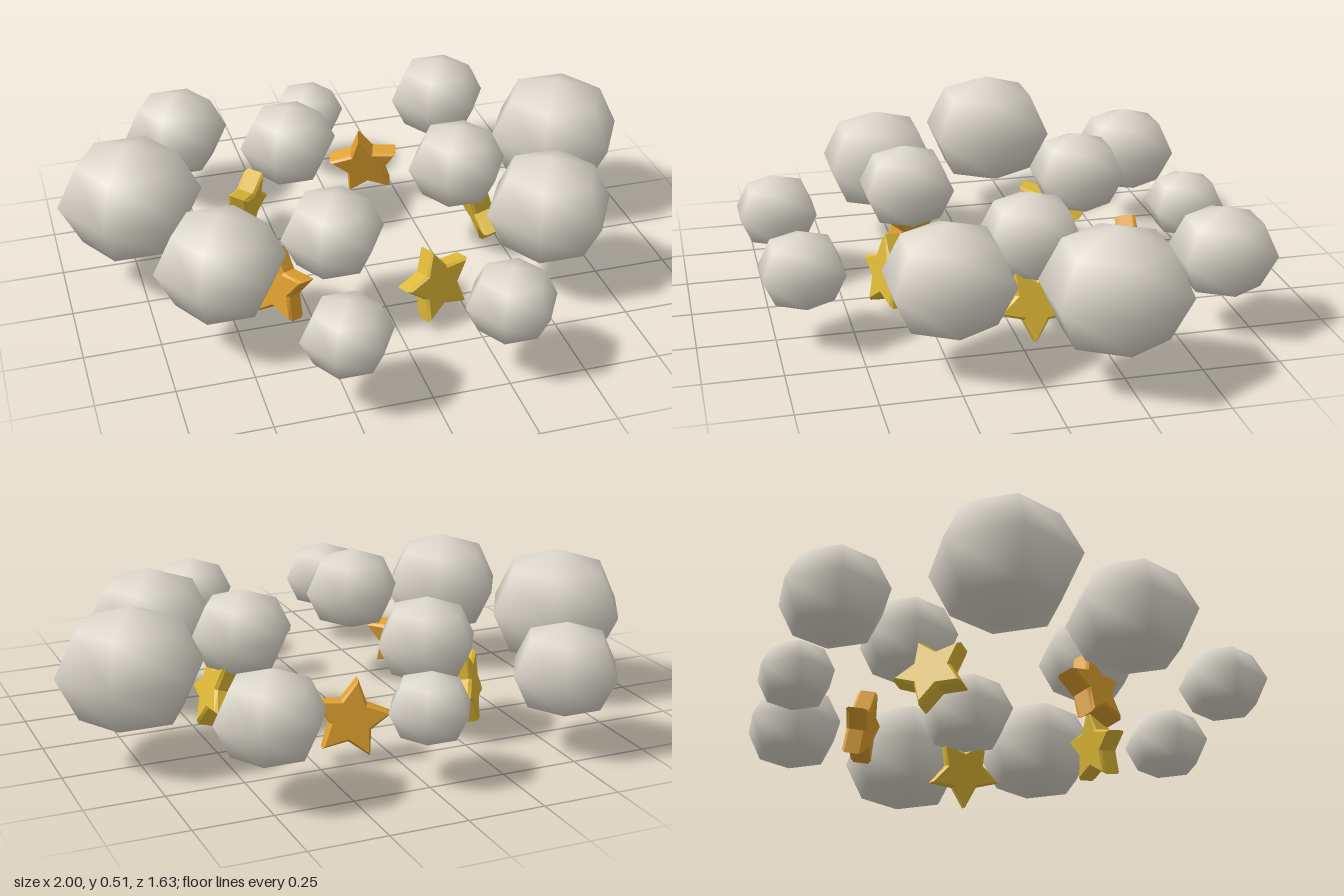
import * as THREE from 'three';

export function createModel() {
  const model = new THREE.Group();
  const make = (name, color) => {
    const m = new THREE.MeshStandardMaterial({ color });
    m.name = name;
    return m;
  };
  const cloudGrey = make('cloud grey', 0xdcd7cb);
  const yellow = make('star yellow', 0xdeb937);
  const orange = make('star orange', 0xe0a02e);

  // Cloud puffs: x, y, z, radius. Six-sided, smooth, slightly squashed spheres
  const puffGeometry = new THREE.SphereGeometry(1, 6, 4);
  const puffs = [
    [-0.76, 0.31, -0.17, 0.24], [0.76, 0.31, -0.21, 0.238],
    [-0.55, 0.295, 0.28, 0.213], [0.56, 0.3, 0.25, 0.217],
    [-0.52, 0.272, -0.64, 0.183], [0.473, 0.27, -0.655, 0.177],
    [-0.02, 0.24, -0.7, 0.137], [-0.175, 0.326, -0.357, 0.17],
    [0.343, 0.326, -0.057, 0.172], [-0.178, 0.326, 0.245, 0.171],
    [-0.253, 0.247, 0.683, 0.148], [0.277, 0.25, 0.66, 0.15],
  ];
  const cloud = new THREE.Group();
  cloud.name = 'cloudRing';
  puffs.forEach(([x, y, z, r], i) => {
    const puff = new THREE.Mesh(puffGeometry, cloudGrey);
    puff.name = `cloudPuff${i + 1}`;
    puff.position.set(x, y, z);
    puff.scale.set(r, r * 0.845, r);
    cloud.add(puff);
  });
  model.add(cloud);

  // Five-pointed star with a small bevel
  const outline = [];
  for (let i = 0; i < 10; i++) {
    const a = Math.PI / 2 + (i * Math.PI) / 5;
    const r = i % 2 ? 0.06 : 0.117;
    outline.push(new THREE.Vector2(r * Math.cos(a), r * Math.sin(a)));
  }
  const starGeometry = new THREE.ExtrudeGeometry(new THREE.Shape(outline), {
    depth: 0.05, bevelEnabled: true, bevelThickness: 0.01, bevelSize: 0.008, bevelSegments: 1,
  });
  starGeometry.translate(0, 0, -0.025);

  // Stars stand in a circle facing outward: height, spin and lean in degrees
  const stars = [
    [0.138, 32, 18, yellow], [0.148, 10, 10, yellow], [0.13, 8, 12, orange],
    [0.132, 24, 10, yellow], [0.142, -10, 10, orange],
  ];
  const rad = THREE.MathUtils.degToRad;
  const ring = new THREE.Group();
  ring.name = 'starRing';
  stars.forEach(([y, spin, lean, material], i) => {
    const a = rad(72 * i);
    const star = new THREE.Mesh(starGeometry, material);
    star.name = `star${i + 1}`;
    star.position.set(0.43 * Math.cos(a), y, 0.43 * Math.sin(a) - 0.05);
    star.rotation.set(-rad(lean), Math.PI / 2 - a, rad(spin), 'YXZ');
    ring.add(star);
  });
  model.add(ring);

  return model;
}
